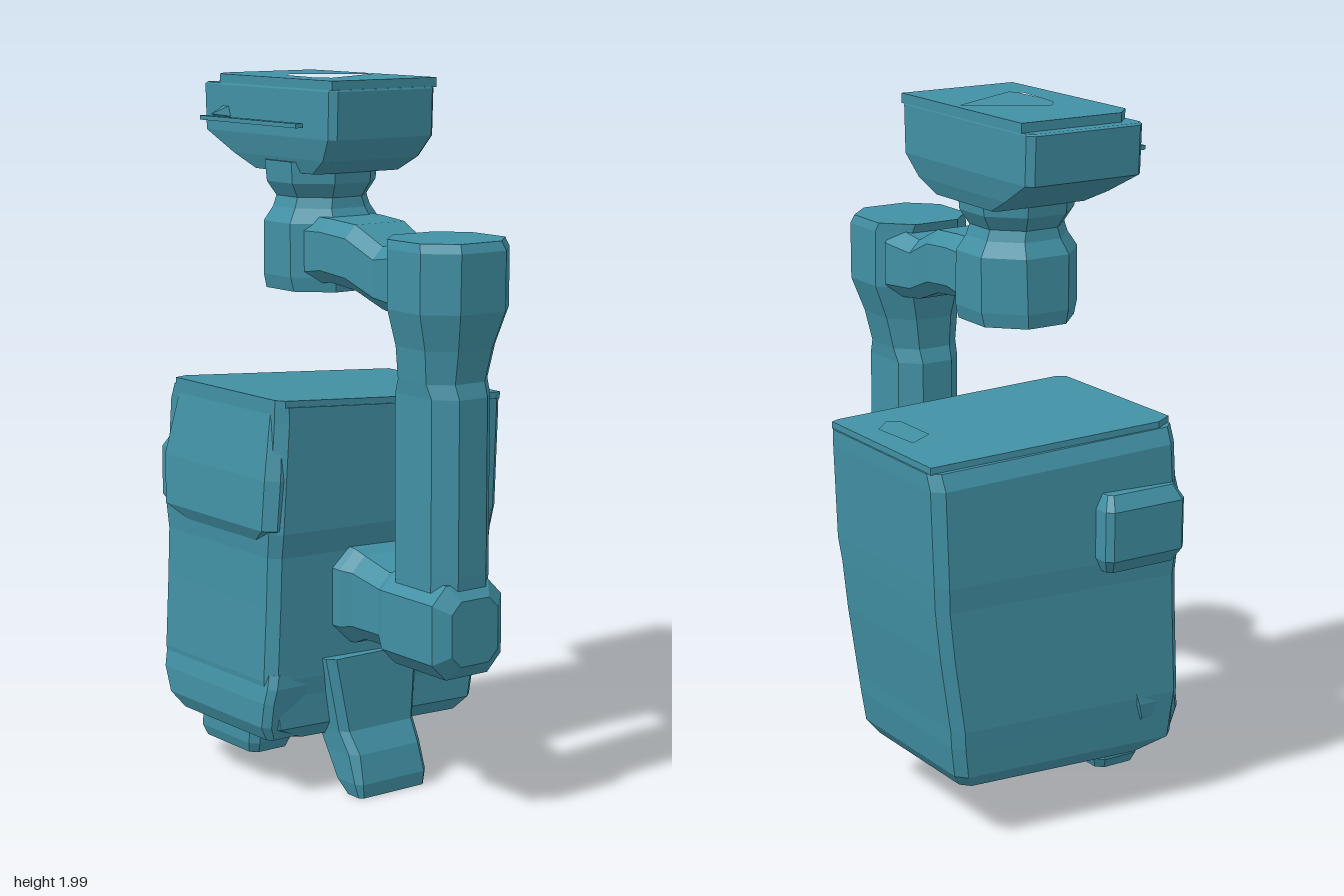
import * as THREE from 'three';

const teal = new THREE.MeshStandardMaterial({ color: 0x4190a4, flatShading: true });

// Stacks chamfered rectangles; each row is [height, centreX, halfX, centreZ, halfZ].
function loft(rows, chamfer) {
  const pos = [];
  const push = (...pts) => pts.forEach((p) => pos.push(...p));
  const rings = rows.map(([y, cx, hx, cz, hz]) => {
    const k = chamfer * Math.min(hx, hz);
    return [
      [hx, -hz + k], [hx, hz - k], [hx - k, hz], [-hx + k, hz],
      [-hx, hz - k], [-hx, -hz + k], [-hx + k, -hz], [hx - k, -hz],
    ].map(([x, z]) => [cx + x, y, cz + z]);
  });
  for (let i = 0; i < rings.length - 1; i++) {
    for (let j = 0; j < 8; j++) {
      const n = (j + 1) % 8;
      const a = rings[i][j], b = rings[i][n], c = rings[i + 1][n], d = rings[i + 1][j];
      push(a, d, b, d, c, b);
    }
  }
  const mid = ([y, cx, , cz]) => [cx, y, cz];
  const last = rings.length - 1;
  for (let j = 0; j < 8; j++) {
    const n = (j + 1) % 8;
    push(mid(rows[0]), rings[0][j], rings[0][n]);
    push(mid(rows[last]), rings[last][n], rings[last][j]);
  }
  const g = new THREE.BufferGeometry();
  g.setAttribute('position', new THREE.Float32BufferAttribute(pos, 3));
  g.computeVertexNormals();
  return g;
}

// Same, running along x; each row is [x, centreY, halfY, centreZ, halfZ].
function loftX(rows, chamfer) {
  return loft(rows.map(([x, cy, hy, cz, hz]) => [x, -cy, hy, cz, hz]), chamfer).rotateZ(-Math.PI / 2);
}

// Flat plate from an [x, z] outline with one hole, rising from y = 0.
function plate(outline, hole, thickness) {
  const pts = (list) => list.map(([x, z]) => new THREE.Vector2(x, -z));
  const shape = new THREE.Shape(pts(outline));
  shape.holes.push(new THREE.Path(pts(hole)));
  return new THREE.ExtrudeGeometry(shape, { depth: thickness, bevelEnabled: false }).rotateX(-Math.PI / 2);
}

// Skews the housing sideways with depth and tilts its upper end down to the back.
function skew(g) {
  const p = g.attributes.position;
  for (let i = 0; i < p.count; i++) {
    const x = p.getX(i), y = p.getY(i), z = p.getZ(i);
    p.setXYZ(i, x - 0.09 * z, y + (y > 1 ? 0.055 * z : 0), z);
  }
  g.computeVertexNormals();
  return g;
}

export function createModel() {
  const model = new THREE.Group();
  const add = (name, geometry) => {
    const mesh = new THREE.Mesh(geometry, teal);
    mesh.name = name;
    model.add(mesh);
    return mesh;
  };

  // Main housing, tapering at the foot and leaning back
  add('housing', skew(loft([
    [0.17, -0.19, 0.235, 0.0, 0.28],
    [0.21, -0.19, 0.265, 0.03, 0.34],
    [0.3, -0.195, 0.27, 0.025, 0.35],
    [0.35, -0.195, 0.275, 0.025, 0.355],
    [0.56, -0.195, 0.275, 0.005, 0.365],
    [0.7, -0.195, 0.275, -0.005, 0.37],
    [0.77, -0.19, 0.285, -0.005, 0.375],
    [1.06, -0.19, 0.285, -0.02, 0.37],
    [1.105, -0.18, 0.275, -0.02, 0.37],
  ], 0.1)));

  // Lid with a shallow recessed grip near the back
  const lid = plate(
    [[-0.44, -0.385], [0.08, -0.385], [0.09, -0.36], [0.09, 0.33], [0.07, 0.35], [-0.42, 0.35], [-0.45, 0.3]],
    [[-0.22, -0.31], [-0.06, -0.32], [-0.01, -0.27], [-0.04, -0.24], [-0.18, -0.24]], 0.02);
  add('lid', skew(lid.translate(0, 1.103, 0)));

  // Front brow and lower lip
  add('brow', loft([
    [0.71, -0.19, 0.12, 0.31, 0.04],
    [0.78, -0.215, 0.27, 0.3, 0.088],
    [0.92, -0.22, 0.28, 0.29, 0.09],
    [1.1, -0.21, 0.25, 0.28, 0.07],
  ], 0.35));
  add('lowerLip', loft([
    [0.18, -0.19, 0.22, 0.31, 0.06],
    [0.22, -0.21, 0.25, 0.31, 0.08],
    [0.29, -0.22, 0.27, 0.31, 0.078],
    [0.33, -0.22, 0.275, 0.3, 0.08],
    [0.37, -0.22, 0.27, 0.29, 0.08],
  ], 0.25));

  // Side knob
  add('sideKnob', loft([
    [0.75, -0.48, 0.04, 0.22, 0.11],
    [0.79, -0.49, 0.057, 0.22, 0.13],
    [0.93, -0.49, 0.057, 0.22, 0.13],
    [0.97, -0.48, 0.04, 0.22, 0.11],
  ], 0.3));

  // Feet
  add('frontFoot', loft([
    [0.1, -0.24, 0.125, 0.26, 0.065],
    [0.13, -0.24, 0.14, 0.26, 0.075],
    [0.21, -0.23, 0.14, 0.26, 0.075],
  ], 0.3));
  add('sideFoot', loft([
    [0.01, 0.145, 0.035, 0.05, 0.115],
    [0.05, 0.125, 0.058, 0.05, 0.125],
    [0.13, 0.085, 0.075, 0.05, 0.125],
    [0.19, 0.05, 0.07, 0.05, 0.13],
    [0.4, 0.03, 0.07, 0.05, 0.16],
  ], 0.3));

  // Arm: hub and lower link
  add('lowerLink', loftX([
    [0.0, 0.58, 0.14, 0.03, 0.16],
    [0.09, 0.57, 0.135, 0.03, 0.14],
    [0.12, 0.57, 0.12, 0.04, 0.11],
    [0.24, 0.56, 0.105, 0.05, 0.1],
    [0.28, 0.55, 0.13, 0.05, 0.12],
    [0.5, 0.55, 0.13, 0.05, 0.12],
    [0.535, 0.55, 0.09, 0.05, 0.08],
  ], 0.4));

  // Arm: upright column with a wider head
  add('column', loft([
    [0.45, 0.39, 0.12, 0.045, 0.1],
    [0.7, 0.385, 0.13, 0.045, 0.1],
    [1.18, 0.385, 0.13, 0.045, 0.1],
    [1.22, 0.385, 0.115, 0.045, 0.105],
    [1.31, 0.39, 0.125, 0.04, 0.12],
    [1.41, 0.395, 0.145, 0.035, 0.152],
    [1.57, 0.395, 0.147, 0.035, 0.152],
    [1.595, 0.385, 0.145, 0.035, 0.145],
  ], 0.52));

  // Arm: upper link
  add('upperLink', loftX([
    [-0.14, 1.52, 0.1, 0.03, 0.13],
    [-0.02, 1.53, 0.088, 0.03, 0.125],
    [0.09, 1.52, 0.09, 0.03, 0.12],
    [0.2, 1.475, 0.085, 0.03, 0.11],
    [0.3, 1.48, 0.1, 0.03, 0.13],
  ], 0.4));

  // Wrist drum and neck
  add('wrist', loft([
    [1.41, -0.18, 0.15, 0.03, 0.145],
    [1.45, -0.18, 0.155, 0.03, 0.155],
    [1.6, -0.18, 0.15, 0.03, 0.155],
    [1.64, -0.18, 0.125, 0.03, 0.13],
    [1.67, -0.18, 0.12, 0.03, 0.12],
    [1.71, -0.18, 0.145, 0.03, 0.145],
    [1.77, -0.18, 0.15, 0.03, 0.15],
  ], 0.58));

  // Head with a triangular recess on top
  add('head', loft([
    [1.74, -0.18, 0.15, 0.01, 0.15],
    [1.78, -0.19, 0.23, 0.01, 0.165],
    [1.84, -0.225, 0.31, 0.01, 0.18],
    [1.97, -0.225, 0.315, 0.01, 0.18],
    [1.975, -0.222, 0.31, 0.01, 0.178],
  ], 0.1));
  const headTop = plate(
    [[-0.5, -0.17], [0.085, -0.17], [0.085, 0.188], [-0.45, 0.188], [-0.5, 0.14]],
    [[-0.18, -0.15], [-0.06, 0.08], [-0.09, 0.11], [-0.26, 0.09], [-0.3, 0.06]], 0.027);
  add('headTop', headTop.translate(0, 1.973, 0));

  // Thin bar floating before the head, held by a spur
  const bar = add('frontBar', new THREE.BoxGeometry(0.46, 0.012, 0.025));
  bar.position.set(-0.18, 1.882, 0.272);
  const spur = add('barSpur', new THREE.ConeGeometry(0.03, 0.06, 5).rotateX(Math.PI / 2));
  spur.position.set(-0.42, 1.89, 0.21);

  return model;
}
